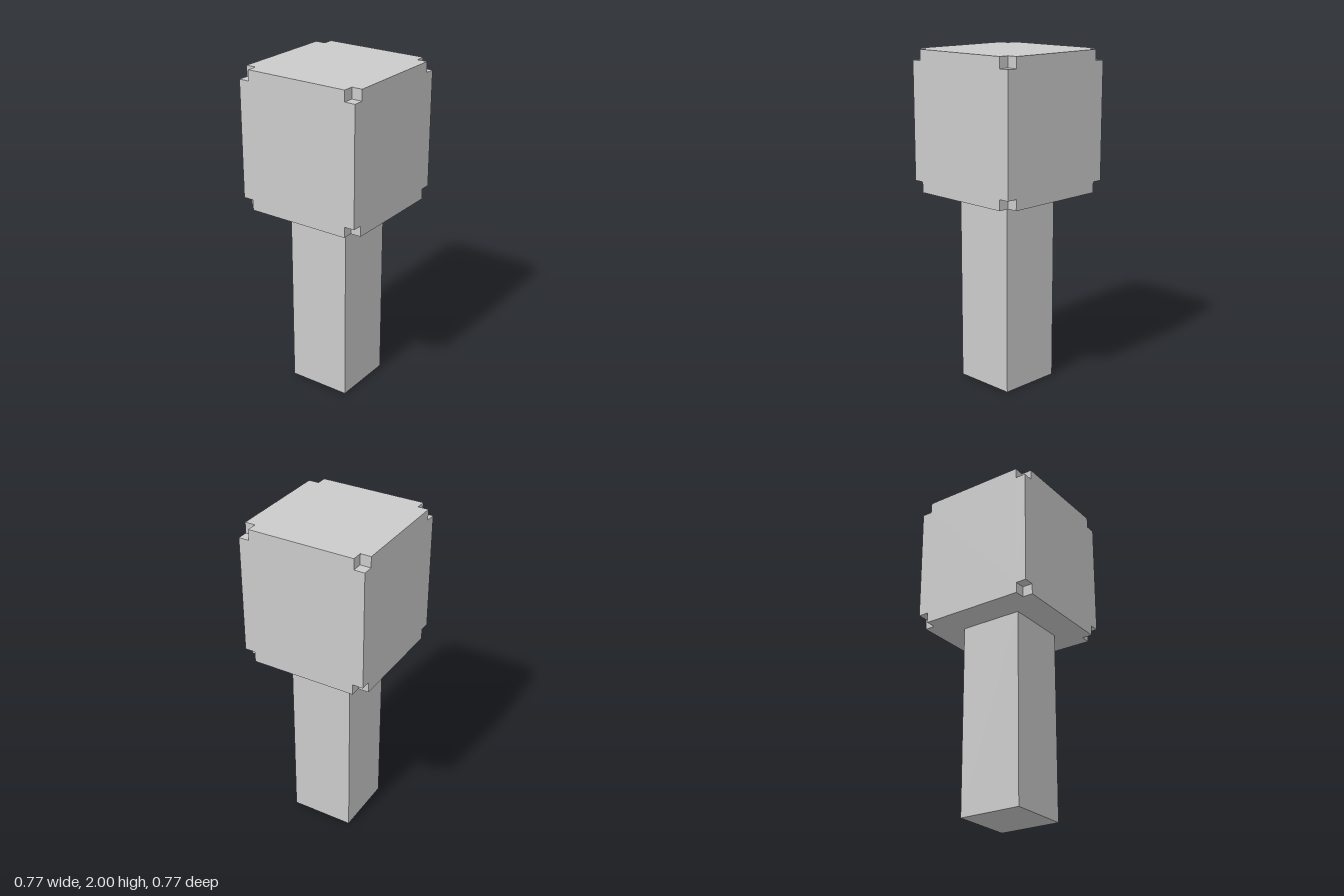
import * as THREE from 'three';
import { mergeGeometries } from 'three/addons/utils/BufferGeometryUtils.js';

const HALF = 0.386;    // half width and depth of the head
const BOTTOM = 1.165;  // underside of the head
const TOP = 2;
const NOTCH = 0.064;   // cube cut out of each corner

// One side of the head: a plate with cut corners, plus the four notch floors set back behind it
function headSide(halfW, halfH, distance) {
  const outline = [
    [halfW, halfH - NOTCH], [halfW - NOTCH, halfH - NOTCH], [halfW - NOTCH, halfH],
    [-halfW + NOTCH, halfH], [-halfW + NOTCH, halfH - NOTCH], [-halfW, halfH - NOTCH],
    [-halfW, -halfH + NOTCH], [-halfW + NOTCH, -halfH + NOTCH], [-halfW + NOTCH, -halfH],
    [halfW - NOTCH, -halfH], [halfW - NOTCH, -halfH + NOTCH], [halfW, -halfH + NOTCH],
  ].map(([x, y]) => new THREE.Vector2(x, y));
  const parts = [new THREE.ShapeGeometry(new THREE.Shape(outline)).translate(0, 0, distance)];
  for (const sx of [-1, 1]) for (const sy of [-1, 1]) {
    parts.push(new THREE.PlaneGeometry(NOTCH, NOTCH).translate(
      sx * (halfW - NOTCH / 2), sy * (halfH - NOTCH / 2), distance - NOTCH));
  }
  return mergeGeometries(parts);
}

export function createModel() {
  const model = new THREE.Group();
  const material = new THREE.MeshStandardMaterial({ color: 0xcccccc, flatShading: true });

  // Square post
  const post = new THREE.Mesh(new THREE.BoxGeometry(0.39, BOTTOM, 0.39), material);
  post.name = 'post';
  post.position.set(-0.003, BOTTOM / 2, 0.003);
  model.add(post);

  // Block head with notched corners: four walls, then top and underside
  const halfH = (TOP - BOTTOM) / 2;
  const sides = [];
  for (let i = 0; i < 4; i++) sides.push(headSide(HALF, halfH, HALF).rotateY(i * Math.PI / 2));
  for (const s of [-1, 1]) sides.push(headSide(HALF, HALF, halfH).rotateX(s * Math.PI / 2));
  const head = new THREE.Mesh(mergeGeometries(sides), material);
  head.name = 'head';
  head.position.y = (TOP + BOTTOM) / 2;
  model.add(head);

  return model;
}
